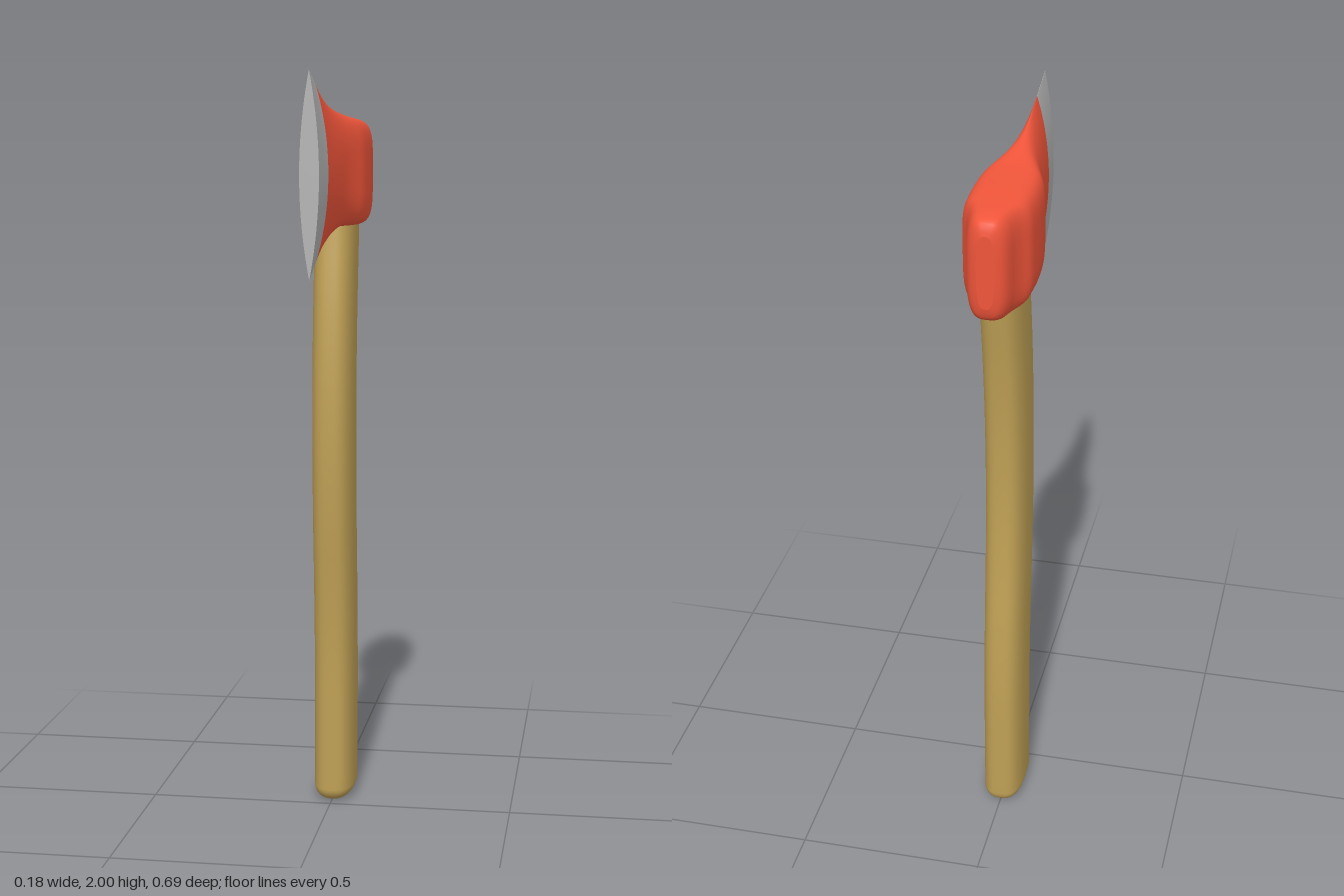
import * as THREE from 'three';

const SIDES = 48;

// Skin through equal-length closed rings, with crisp end caps
function loft(rings) {
  const pos = [], index = [], n = SIDES;
  rings.forEach(ring => ring.forEach(p => pos.push(...p)));
  for (let i = 0; i < rings.length - 1; i++) {
    for (let j = 0; j < n; j++) {
      const k = (j + 1) % n;
      const a = i * n + j, b = i * n + k, c = a + n, d = b + n;
      index.push(a, b, d, a, d, c);
    }
  }
  [rings[0], rings[rings.length - 1]].forEach((ring, end) => {
    const base = pos.length / 3;
    ring.forEach(p => pos.push(...p));
    pos.push(...[0, 1, 2].map(a => ring.reduce((s, p) => s + p[a], 0) / n));
    for (let j = 0; j < n; j++) {
      const a = base + j, b = base + (j + 1) % n;
      if (end) index.push(a, b, base + n); else index.push(b, a, base + n);
    }
  });
  const geo = new THREE.BufferGeometry();
  geo.setAttribute('position', new THREE.Float32BufferAttribute(pos, 3));
  geo.setIndex(index);
  geo.computeVertexNormals();
  return geo;
}

// Unit outline: p squares the long axis, q shapes the sides (1 gives a pointed lens)
function outline(p, q) {
  const pow = (v, e) => Math.sign(v) * Math.pow(Math.abs(v), e);
  return Array.from({ length: SIDES }, (_, j) => {
    const a = j / SIDES * Math.PI * 2;
    return [pow(Math.cos(a), 2 * q), pow(Math.sin(a), 2 / p)];
  });
}

// Smooth interpolation through keys whose first entry is the station
function smooth(keys) {
  const size = keys[0].length - 1;
  const curve = new THREE.CubicInterpolant(keys.map(k => k[0]), keys.flatMap(k => k.slice(1)), size);
  return t => Array.from(curve.evaluate(t));
}

function mesh(name, geometry, color) {
  const m = new THREE.Mesh(geometry, new THREE.MeshStandardMaterial({ color }));
  m.name = name;
  return m;
}

export function createModel() {
  const group = new THREE.Group();
  group.name = 'axe';

  // Head stations: z, half width, bottom, top, p, q
  const head = smooth([
    [-0.347, 0.022, 1.65, 1.84, 3, 0.33],
    [-0.342, 0.034, 1.63, 1.86, 3.2, 0.31],
    [-0.33, 0.046, 1.615, 1.873, 3.4, 0.3],
    [-0.31, 0.054, 1.606, 1.88, 3.6, 0.28],
    [-0.28, 0.06, 1.602, 1.884, 4, 0.25],
    [-0.25, 0.07, 1.6, 1.886, 4.3, 0.23],
    [-0.22, 0.085, 1.6, 1.887, 4.5, 0.22],
    [-0.18, 0.089, 1.6, 1.889, 4.5, 0.22],
    [-0.1, 0.089, 1.6, 1.891, 4.5, 0.22],
    [-0.04, 0.083, 1.602, 1.894, 4.3, 0.24],
    [0, 0.07, 1.603, 1.9, 3.8, 0.29],
    [0.05, 0.057, 1.592, 1.91, 3, 0.42],
    [0.12, 0.047, 1.568, 1.927, 2.4, 0.65],
    [0.245, 0.033, 1.52, 1.967, 2, 0.95],
    [0.347, 0.025, 1.481, 2, 2, 1],
  ]);
  const headPart = (from, to, steps) => loft(Array.from({ length: steps + 1 }, (_, i) => {
    // Denser stations toward the rounded back
    const z = from + (to - from) * Math.pow(i / steps, 1.4);
    const [w, lo, hi, p, q] = head(z);
    return outline(p, q).map(([x, y]) => [x * w, (lo + hi) / 2 + y * (hi - lo) / 2, z]);
  }));
  group.add(mesh('head', headPart(-0.347, 0.245, 50), 0xf0553a));
  group.add(mesh('cuttingEdge', headPart(0.245, 0.347, 8), 0xb4b4b4));

  // Handle: gently S-curved, with a rounded foot
  const centre = smooth([
    [0, -0.122], [0.2, -0.122], [0.4, -0.12], [0.6, -0.108], [0.8, -0.09],
    [1, -0.08], [1.2, -0.083], [1.4, -0.1], [1.6, -0.13], [1.8, -0.155],
  ]);
  const FOOT = 0.035, section = outline(2.8, 0.36);
  const handleRing = (y, inset) => section.map(([x, z]) =>
    [x * (0.056 - inset), y, centre(y)[0] - z * (0.109 - inset)]);
  const rings = [];
  for (let i = 0; i <= 8; i++) {
    const a = i / 8 * Math.PI / 2;
    rings.push(handleRing(FOOT * (1 - Math.cos(a)), FOOT * (1 - Math.sin(a))));
  }
  for (let i = 1; i <= 40; i++) rings.push(handleRing(FOOT + (1.8 - FOOT) * i / 40, 0));
  group.add(mesh('handle', loft(rings), 0xbfa055));

  return group;
}
